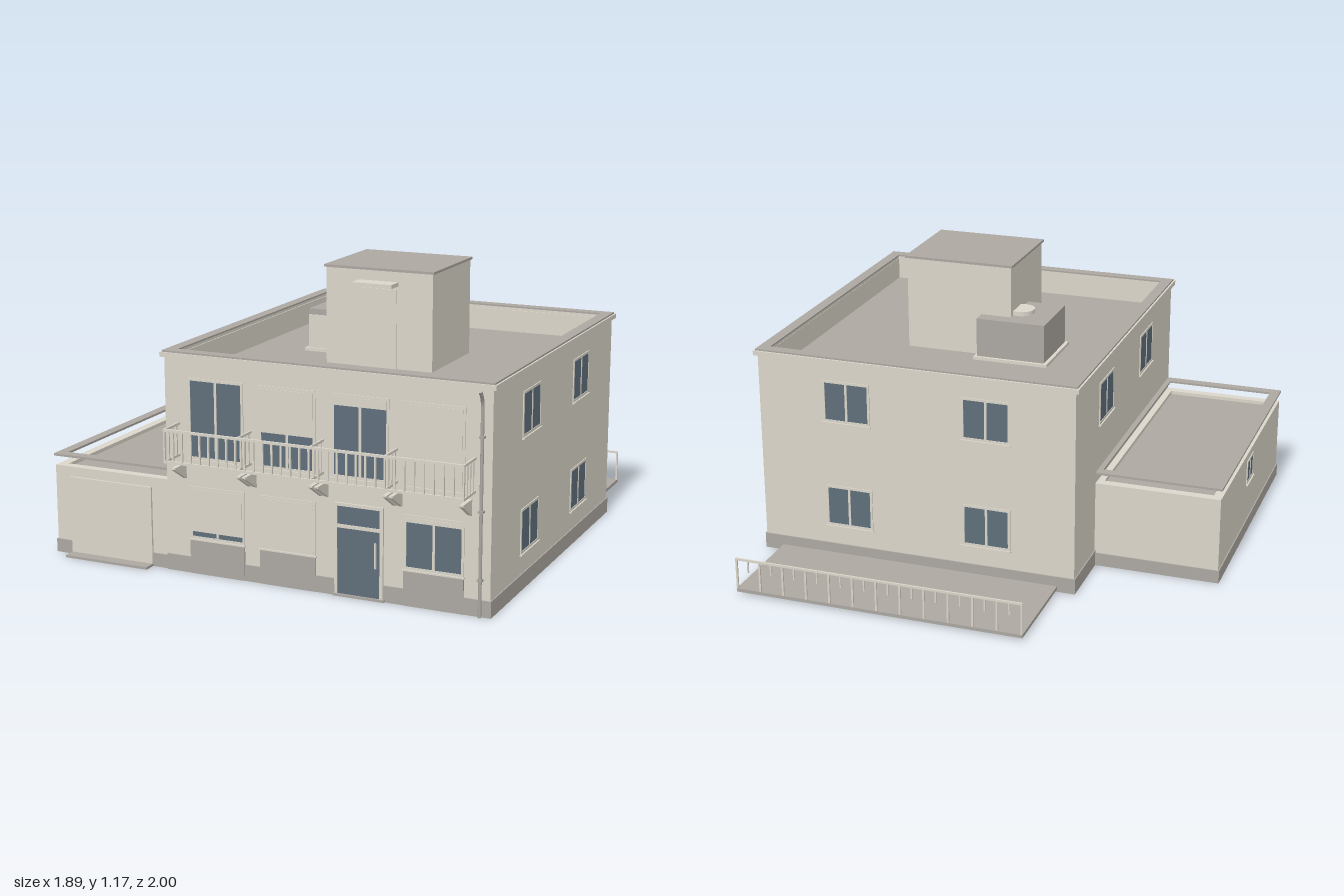
import * as THREE from 'three';

const mat = (name, color) => {
  const m = new THREE.MeshStandardMaterial({ color });
  m.name = name;
  return m;
};

export function createModel() {
  const wall = mat('beige plaster', 0xdad6ca);
  const grey = mat('grey roofing', 0xaca7a1);
  const glass = mat('blue glass', 0x5f6f7b);
  const T = 0.012; // wall thickness
  const house = new THREE.Group();
  house.name = 'house';

  const add = (name, geo, material, parent = house) => {
    const mesh = new THREE.Mesh(geo, material);
    mesh.name = name;
    parent.add(mesh);
    return mesh;
  };
  // Box given by its limits
  const box = (name, x0, x1, y0, y1, z0, z1, material, parent) => {
    const g = new THREE.BoxGeometry(x1 - x0, y1 - y0, z1 - z0);
    g.translate((x0 + x1) / 2, (y0 + y1) / 2, (z0 + z1) / 2);
    return add(name, g, material, parent);
  };
  const rect = (C, x0, x1, y0, y1) => {
    const s = new C();
    s.moveTo(x0, y0);
    s.lineTo(x1, y0);
    s.lineTo(x1, y1);
    s.lineTo(x0, y1);
    s.closePath();
    return s;
  };
  // Hollow rectangular wall, open above and below
  const ring = (name, x0, x1, z0, z1, t, y0, y1, material) => {
    const s = rect(THREE.Shape, x0, x1, -z1, -z0);
    s.holes.push(rect(THREE.Path, x0 + t, x1 - t, -z1 + t, -z0 - t));
    const g = new THREE.ExtrudeGeometry(s, { depth: y1 - y0, bevelEnabled: false });
    g.rotateX(-Math.PI / 2).translate(0, y0, 0);
    return add(name, g, material);
  };

  // Main block
  const X0 = -0.42, X1 = 0.929, Z0 = -0.567, Z1 = 0.877;
  ring('mainWalls', X0, X1, Z0, Z1, T, 0, 0.77, wall);
  ring('parapet', X0, X1, Z0, Z1, 0.038, 0.77, 0.866, wall);
  ring('mainPlinth', X0 - 0.005, X1 + 0.005, Z0 - 0.005, Z1 + 0.005, 0.006, 0, 0.065, grey);
  ring('cornice', X0 - 0.016, X1 + 0.013, Z0 - 0.016, Z1 + 0.01, 0.05, 0.859, 0.878, wall);
  ring('parapetCap', X0 - 0.008, X1 + 0.006, Z0 - 0.008, Z1 + 0.004, 0.046, 0.878, 0.885, grey);
  box('mainRoof', X0 + 0.006, X1 - 0.006, 0.755, 0.772, Z0 + 0.006, Z1 - 0.006, grey);

  // Garage wing with raised cap frame running into the main wall
  const G0 = -0.94;
  ring('garageWalls', G0, X0 + 0.01, -0.287, 0.87, T, 0, 0.34, wall);
  ring('garageParapet', G0, X0 + 0.01, -0.287, 0.87, 0.038, 0.34, 0.365, wall);
  ring('garagePlinth', G0 - 0.005, X0 + 0.01, -0.292, 0.875, 0.006, 0, 0.055, grey);
  box('garageRoof', G0 + 0.006, X0, 0.335, 0.35, -0.28, 0.864, grey);
  ring('garageCapFrame', G0 - 0.005, -0.4, -0.288, 0.875, 0.042, 0.404, 0.413, grey);
  box('garageDoor', -0.87, -0.495, 0.01, 0.325, 0.86, 0.879, wall);
  box('garageRamp', -0.87, -0.495, 0, 0.01, 0.87, 0.927, grey);

  // One group per facade; local z = 0 is the outer wall face
  const facade = (name, x, z, angle) => {
    const g = new THREE.Group();
    g.name = name;
    g.position.set(x, 0, z);
    g.rotation.y = angle;
    house.add(g);
    return g;
  };
  const front = facade('frontFacade', 0, Z1, 0);
  const back = facade('backFacade', 0, Z0, Math.PI);
  const right = facade('plusXFacade', X1, 0, Math.PI / 2);
  const left = facade('minusXFacade', X0, 0, -Math.PI / 2);
  const garageSide = facade('garageFacade', G0, 0, -Math.PI / 2);

  // Frame with panes running through the wall, sill and optional shutter
  const windowUnit = (parent, x0, x1, y0, y1, panes = 2, shutterTo = null) => {
    const g = new THREE.Group();
    g.name = 'window';
    parent.add(g);
    const f = 0.01, w = (x1 - x0 - f * (panes + 1)) / panes;
    const s = rect(THREE.Shape, x0, x1, y0, y1);
    for (let i = 0; i < panes; i++) {
      const a = x0 + f + i * (w + f);
      s.holes.push(rect(THREE.Path, a, a + w, y0 + f, y1 - f));
      box('pane', a, a + w, y0 + f, y1 - f, -T - 0.003, 0.002, glass, g);
    }
    const frame = new THREE.ExtrudeGeometry(s, { depth: T + 0.01, bevelEnabled: false });
    frame.translate(0, 0, -T - 0.006);
    add('frame', frame, wall, g);
    box('sill', x0 - 0.004, x1 + 0.004, y0 - 0.006, y0, -0.002, 0.01, wall, g);
    if (shutterTo !== null) box('shutter', x0 + f, x1 - f, shutterTo, y1 - f, 0, 0.006, wall, g);
  };

  // Side and back windows on two floors
  for (const [y0, y1] of [[0.147, 0.325], [0.606, 0.784]]) {
    for (const z of [0.457, -0.148]) {
      windowUnit(right, -z - 0.102, -z + 0.102, y0, y1);
      windowUnit(left, z - 0.102, z + 0.102, y0, y1);
    }
    for (const x of [0.545, -0.05]) windowUnit(back, -x - 0.102, -x + 0.102, y0, y1);
  }
  windowUnit(garageSide, 0.2, 0.32, 0.23, 0.335);

  // Front windows: x limits, upper and lower shutter height
  const bays = [
    [-0.318, -0.08, null, 0.173],
    [-0.013, 0.224, 0.605, 0.15],
    [0.292, 0.524, 0.743, null],
    [0.586, 0.825, 0.47, 0.327],
  ];
  bays.forEach(([x0, x1, up, low], i) => {
    windowUnit(front, x0, x1, 0.465, 0.786, 2, up);
    if (i === 2) return;
    windowUnit(front, x0, x1, 0.143, 0.355, 2, low);
    box('plinthPanel', x0, x1, 0, 0.136, -0.01, 0.007, grey, front);
  });

  // Entrance door with transom and pull handle
  for (const [x0, x1] of [[0.304, 0.316], [0.49, 0.504]])
    box('doorFrame', x0, x1, 0, 0.368, -T - 0.006, 0.009, wall, front);
  for (const [y0, y1] of [[0.271, 0.285], [0.356, 0.368]])
    box('doorFrame', 0.316, 0.49, y0, y1, -T - 0.006, 0.009, wall, front);
  box('entranceDoor', 0.316, 0.49, 0.01, 0.271, -T - 0.003, 0.007, glass, front);
  box('transom', 0.316, 0.49, 0.285, 0.356, -T - 0.003, 0.006, glass, front);
  box('doorStep', 0.298, 0.51, 0, 0.01, -T, 0.014, grey, front);
  box('doorHandle', 0.472, 0.479, 0.13, 0.23, 0.012, 0.018, wall, front);

  // Balcony railing: front run and side returns
  const r = 0.0035;
  for (const y of [0.475, 0.6]) {
    box('balconyRail', -0.365, 0.867, y - 0.005, y + 0.005, 0.988, 0.997, wall);
  }
  for (let i = 0; i <= 32; i++) {
    const x = -0.361 + (1.224 * i) / 32;
    box('baluster', x - r, x + r, 0.475, 0.6, 0.989, 0.996, wall);
  }
  for (const x of [-0.361, -0.048, 0.255, 0.556, 0.863]) {
    for (const y of [0.475, 0.6]) box('returnRail', x - r, x + r, y - 0.005, y + 0.005, 0.875, 0.995, wall);
    for (const z of [0.9, 0.93, 0.96]) box('returnBaluster', x - r, x + r, 0.475, 0.6, z - r, z + r, wall);
  }

  // Triangular wall brackets
  const tri = new THREE.Shape();
  tri.moveTo(0, 0.382);
  tri.lineTo(0.09, 0.438);
  tri.lineTo(0.09, 0.445);
  tri.lineTo(0, 0.445);
  tri.closePath();
  const bracket = new THREE.ExtrudeGeometry(tri, { depth: 0.016, bevelEnabled: false });
  bracket.rotateY(-Math.PI / 2);
  for (const x of [-0.34, -0.058, -0.034, 0.245, 0.269, 0.546, 0.57, 0.845])
    add('bracket', bracket, wall).position.set(x + 0.008, 0, 0.877);

  // Downpipe with swan neck and clips
  const pipe = new THREE.CurvePath();
  const pts = [[0, 0.888], [0.82, 0.888], [0.858, 0.915]].map(([y, z]) => new THREE.Vector3(0.892, y, z));
  pipe.add(new THREE.LineCurve3(pts[0], pts[1]));
  pipe.add(new THREE.LineCurve3(pts[1], pts[2]));
  add('downpipe', new THREE.TubeGeometry(pipe, 24, 0.007, 8), grey);
  for (const y of [0.14, 0.4, 0.68]) box('pipeClip', 0.882, 0.902, y, y + 0.008, 0.875, 0.897, grey);

  // Rear terrace and railing with short drop bars
  box('terrace', -0.35, 0.853, 0.01, 0.024, -1, Z0, grey);
  box('terraceRail', -0.35, 0.853, 0.148, 0.157, -0.999, -0.992, wall);
  for (let i = 0; i <= 12; i++) {
    const x = -0.346 + (1.195 * i) / 12;
    box('terracePost', x - 0.004, x + 0.004, 0.02, 0.15, -0.999, -0.992, wall);
    if (i < 12) box('dropBar', x + 0.047, x + 0.053, 0.1, 0.15, -0.998, -0.993, wall);
  }

  // Roof stair house with door and canopy
  box('stairHouse', 0.026, 0.482, 0.76, 1.161, -0.044, 0.358, wall);
  box('stairHouseRoof', 0.018, 0.489, 1.161, 1.171, -0.051, 0.364, grey);
  box('stairHouseDoor', 0.175, 0.33, 0.772, 1.09, 0.35, 0.362, wall);
  box('canopy', 0.168, 0.337, 1.104, 1.12, 0.35, 0.428, wall);

  // Roof service box with vent disc
  box('serviceFlange', -0.153, 0.167, 0.765, 0.785, -0.118, 0.19, wall);
  box('serviceBox', -0.138, 0.155, 0.77, 0.948, -0.105, 0.178, grey);
  box('serviceFrontPlate', -0.138, 0.026, 0.785, 0.924, 0.176, 0.181, wall);
  const disc = add('ventDisc', new THREE.CylinderGeometry(0.055, 0.055, 0.02, 24), wall);
  disc.position.set(0.005, 0.956, 0.035);

  return house;
}
